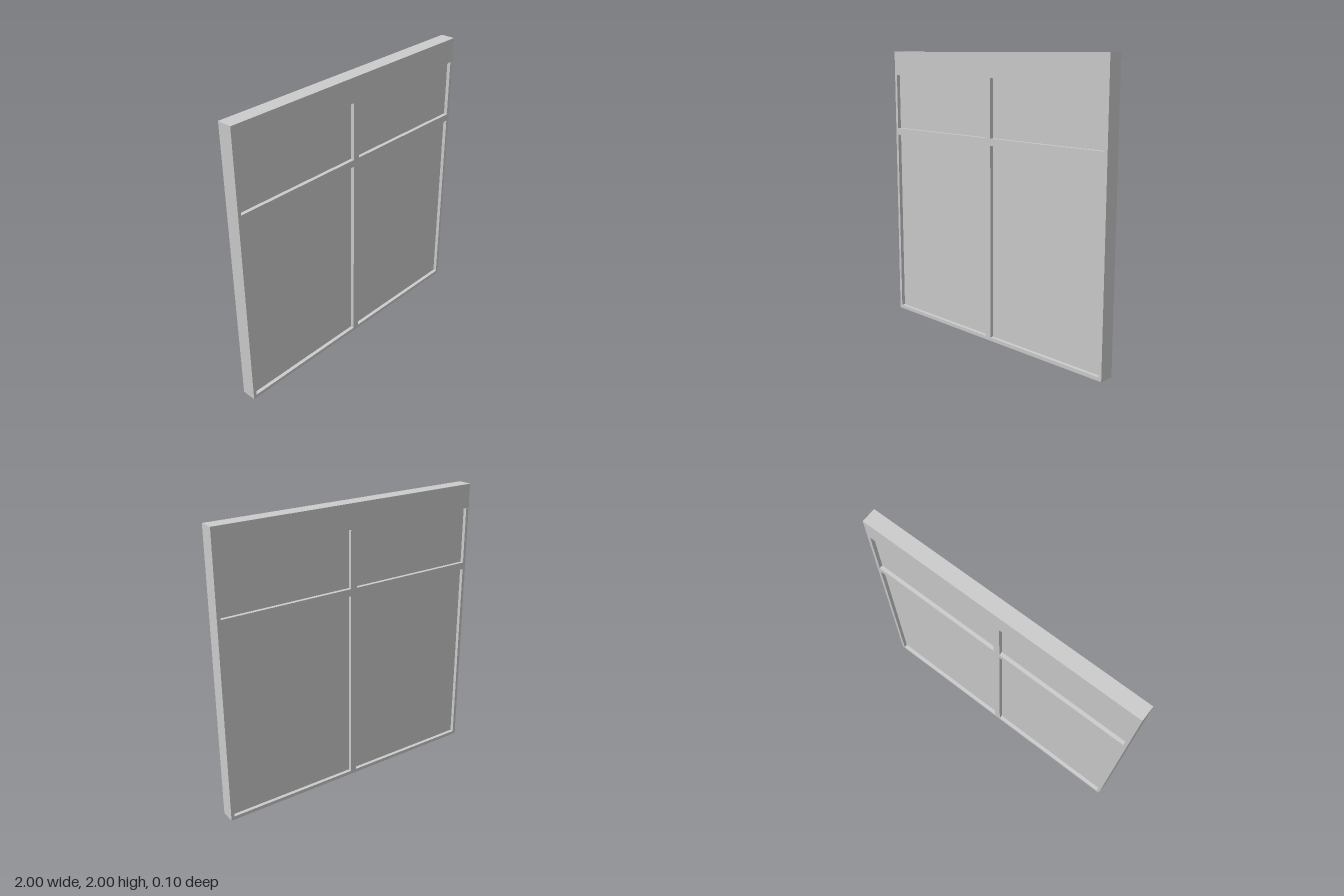
import * as THREE from 'three';

const DEPTH = 0.104;
const PANE_DEPTH = 0.052;

// Counter-clockwise rectangle, used for the outline and for the openings
function rectangle(path, x0, y0, x1, y1) {
  path.moveTo(x0, y0);
  path.lineTo(x1, y0);
  path.lineTo(x1, y1);
  path.lineTo(x0, y1);
  path.closePath();
  return path;
}

export function createModel() {
  const model = new THREE.Group();
  model.name = 'windowPanel';
  const material = new THREE.MeshStandardMaterial({ color: 0xcccccc, flatShading: true });

  const inner = 0.023, outer = 0.977;
  const rows = [
    { name: 'lower', y0: 0.025, y1: 1.38 },
    { name: 'upper', y0: 1.43, y1: 1.83 },
  ];

  const outline = rectangle(new THREE.Shape(), -1, 0, 1, 2);

  for (const { name, y0, y1 } of rows) {
    for (const side of [-1, 1]) {
      const x0 = side < 0 ? -outer : inner;
      const x1 = side < 0 ? -inner : outer;
      // Opening in the frame
      outline.holes.push(rectangle(new THREE.Path(), x0, y0, x1, y1));
      // Recessed pane filling the opening
      const pane = new THREE.Mesh(new THREE.BoxGeometry(x1 - x0, y1 - y0, PANE_DEPTH), material);
      pane.position.set((x0 + x1) / 2, (y0 + y1) / 2, 0);
      pane.name = name + (side < 0 ? 'RightPane' : 'LeftPane');
      model.add(pane);
    }
  }

  // Frame with its wide head, centre mullion and transom
  const frameGeometry = new THREE.ExtrudeGeometry(outline, { depth: DEPTH, bevelEnabled: false });
  frameGeometry.translate(0, 0, -DEPTH / 2);
  const frame = new THREE.Mesh(frameGeometry, material);
  frame.name = 'frame';
  model.add(frame);

  return model;
}
